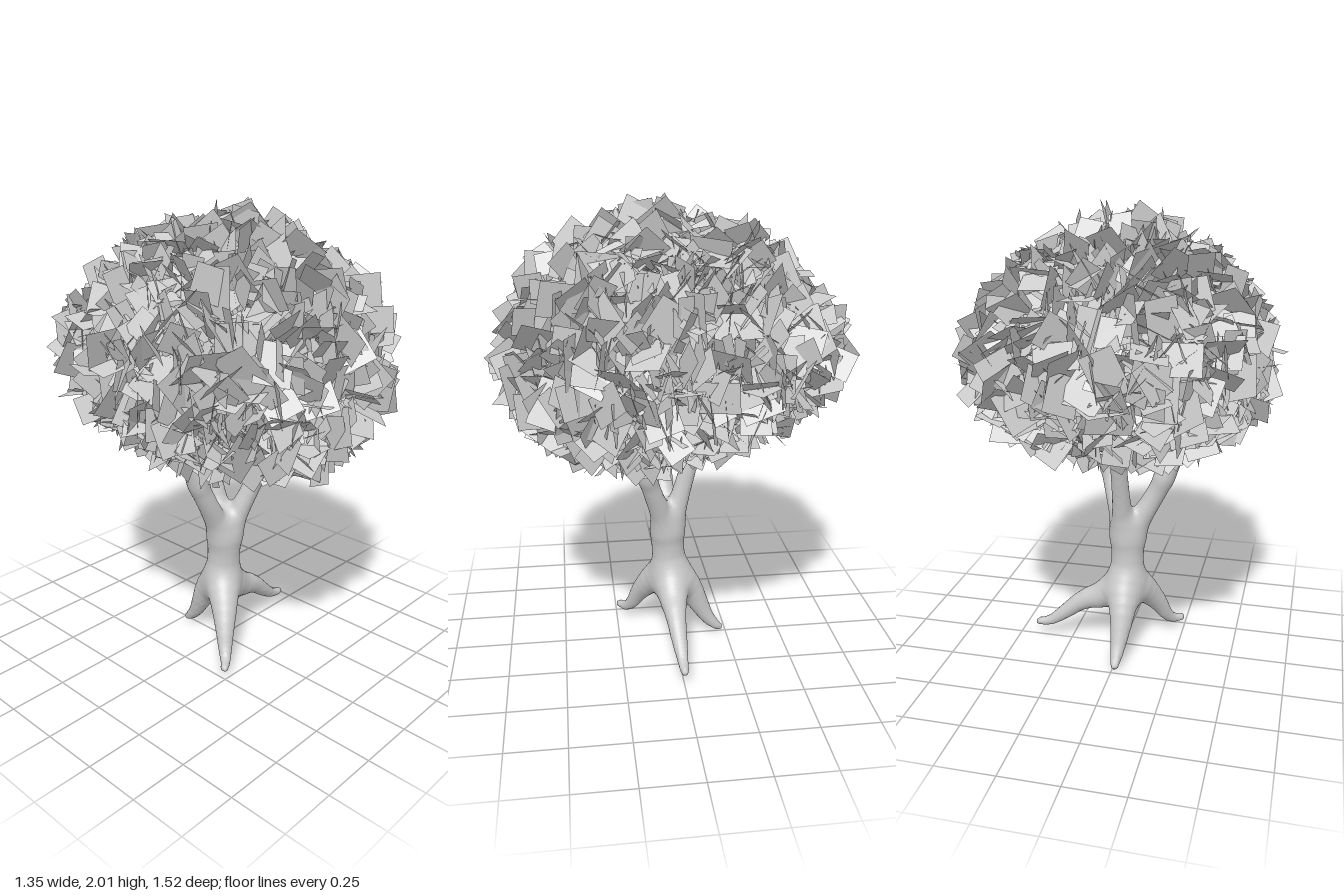
import * as THREE from 'three';
import { mergeGeometries } from 'three/addons/utils/BufferGeometryUtils.js';

// Limb paths, each point is [x, y, z, radius]
const limbs = {
  trunk: [[-0.01, 0.27, 0.01, 0.084], [-0.015, 0.34, 0.015, 0.08], [-0.015, 0.44, 0.02, 0.073],
    [-0.015, 0.54, 0.025, 0.076], [-0.015, 0.6, 0.025, 0.066]],
  leftRoot: [[0.0, 0.35, 0.01, 0.06], [0.045, 0.285, 0.01, 0.073], [0.1, 0.245, 0.01, 0.062],
    [0.19, 0.208, 0.01, 0.045], [0.28, 0.137, 0.005, 0.034], [0.35, 0.085, 0, 0.024],
    [0.408, 0.07, 0, 0.018]],
  rightFrontRoot: [[-0.02, 0.35, 0.02, 0.06], [-0.055, 0.295, 0.055, 0.071],
    [-0.095, 0.235, 0.1, 0.058], [-0.137, 0.165, 0.142, 0.043], [-0.17, 0.09, 0.175, 0.031],
    [-0.2, 0.053, 0.205, 0.023], [-0.235, 0.047, 0.232, 0.018]],
  backRoot: [[-0.01, 0.35, 0, 0.06], [-0.01, 0.295, -0.035, 0.072], [-0.015, 0.23, -0.082, 0.06],
    [-0.015, 0.15, -0.125, 0.045], [-0.012, 0.08, -0.163, 0.033], [-0.01, 0.037, -0.2, 0.024],
    [-0.01, 0.02, -0.22, 0.018]],
  rightBranch: [[-0.04, 0.55, 0.025, 0.05], [-0.075, 0.64, 0.025, 0.049], [-0.13, 0.74, 0.03, 0.044],
    [-0.18, 0.84, 0.025, 0.043], [-0.23, 0.96, 0.02, 0.035], [-0.3, 1.2, 0.01, 0.02]],
  rightBranchFork: [[-0.175, 0.84, 0.025, 0.03], [-0.17, 0.92, 0.05, 0.028],
    [-0.14, 1.0, 0.08, 0.024], [-0.1, 1.2, 0.13, 0.018]],
  frontLeftBranch: [[0.01, 0.55, 0.04, 0.048], [0.035, 0.65, 0.062, 0.046], [0.068, 0.75, 0.095, 0.041],
    [0.1, 0.86, 0.13, 0.039], [0.13, 0.97, 0.165, 0.034], [0.2, 1.2, 0.23, 0.02]],
  frontLeftBranchFork: [[0.095, 0.84, 0.122, 0.028], [0.085, 0.93, 0.11, 0.026],
    [0.075, 1.03, 0.1, 0.022], [0.06, 1.2, 0.08, 0.018]],
  backBranch: [[-0.005, 0.55, 0.005, 0.048], [0, 0.65, -0.015, 0.046], [0, 0.74, -0.04, 0.04],
    [0, 0.85, -0.07, 0.037], [0, 0.97, -0.105, 0.034], [0.02, 1.2, -0.2, 0.02]],
};

// Smooth a path into short tapered segments
function smoothPath(points, count = 11) {
  const curve = new THREE.CatmullRomCurve3(points.map(p => new THREE.Vector3(p[0], p[1], p[2])));
  const radii = new THREE.SplineCurve(points.map((p, i) => new THREE.Vector2(i, p[3])));
  return Array.from({ length: count + 1 }, (_, i) =>
    [...curve.getPoint(i / count).toArray(), radii.getPoint(i / count).y]);
}

// Distance from (x, y, z) to a tapered path
function pathDistance(path, x, y, z) {
  let best = Infinity;
  for (let i = 0; i < path.length - 1; i++) {
    const a = path[i], b = path[i + 1];
    const dx = b[0] - a[0], dy = b[1] - a[1], dz = b[2] - a[2];
    const px = x - a[0], py = y - a[1], pz = z - a[2];
    const along = (px * dx + py * dy + pz * dz) / (dx * dx + dy * dy + dz * dz);
    const t = Math.min(1, Math.max(0, along));
    const d = Math.sqrt((px - t * dx) ** 2 + (py - t * dy) ** 2 + (pz - t * dz) ** 2);
    best = Math.min(best, d - a[3] - t * (b[3] - a[3]));
  }
  return best;
}

// One continuous skin around all limbs, with soft blends where they meet
function barkSkin(paths, origin, counts, cell, blend) {
  const [nx, ny, nz] = counts;
  const steps = [1, nx, nx * ny];
  const values = new Float32Array(nx * ny * nz);
  const cellVertex = new Int32Array(values.length);
  const eachCell = (margin, visit) => {
    for (let k = 0; k < nz - margin; k++)
      for (let j = 0; j < ny - margin; j++)
        for (let i = 0; i < nx - margin; i++) visit(i, j, k, (k * ny + j) * nx + i);
  };
  eachCell(0, (i, j, k, p) => {
    let d = 1;
    for (const path of paths) {
      const e = pathDistance(path, origin[0] + i * cell, origin[1] + j * cell, origin[2] + k * cell);
      const h = Math.max(0, blend - Math.abs(d - e));
      d = Math.min(d, e) - h * h / (4 * blend);
    }
    values[p] = d;
  });

  // A vertex in each cell that the surface crosses
  const pos = [], index = [];
  eachCell(1, (i, j, k, p) => {
    const sum = [0, 0, 0];
    let hits = 0;
    for (let a = 0; a < 8; a++) {
      const corner = [a & 1, (a >> 1) & 1, (a >> 2) & 1];
      const q = p + corner[0] + corner[1] * steps[1] + corner[2] * steps[2];
      for (let d = 0; d < 3; d++) {
        if (corner[d] || (values[q] < 0) === (values[q + steps[d]] < 0)) continue;
        const t = values[q] / (values[q] - values[q + steps[d]]);
        for (let e = 0; e < 3; e++) sum[e] += corner[e] + (e === d ? t : 0);
        hits++;
      }
    }
    if (!hits) return;
    cellVertex[p] = pos.length / 3;
    [i, j, k].forEach((n, e) => pos.push(origin[e] + (n + sum[e] / hits) * cell));
  });

  // A quad around each crossed grid edge
  eachCell(1, (i, j, k, p) => {
    for (let d = 0; d < 3; d++) {
      const inside = values[p] < 0;
      if (inside === (values[p + steps[d]] < 0)) continue;
      const u = steps[(d + 1) % 3], w = steps[(d + 2) % 3];
      const q = [p - u - w, p - w, p, p - u].map(n => cellVertex[n]);
      if (!inside) q.reverse();
      index.push(q[0], q[1], q[2], q[0], q[2], q[3]);
    }
  });
  const g = new THREE.BufferGeometry();
  g.setAttribute('position', new THREE.Float32BufferAttribute(pos, 3));
  g.setIndex(index);
  g.computeVertexNormals();
  return g;
}

// Small seeded random generator
function seeded(seed) {
  return () => {
    seed = (seed * 1664525 + 1013904223) % 4294967296;
    return seed / 4294967296;
  };
}

// Point on the crown surface: v is height from -1 to 1, a is the angle around y
function crownPoint(v, a, depth) {
  const c = Math.abs(Math.cos(a)) / 0.585, s = Math.abs(Math.sin(a)) / 0.67;
  const n = 2.2 - 0.2 * Math.sin(a); // squarer in plan at the back
  const plan = Math.pow(Math.pow(c, n) + Math.pow(s, n), -1 / n);
  const p = v < 0 ? 2.2 : 1.8;
  const r = plan * Math.pow(1 - Math.pow(Math.abs(v), p), 1 / p) * depth;
  const rise = v * depth * (v < 0 ? 0.43 : 0.525);
  const lean = (v < 0 ? 0.2 : 0.1) * Math.abs(rise); // fullest at the front, pointed at the back
  const z = Math.sin(a) * r + lean;
  return new THREE.Vector3(Math.cos(a) * r, 1.39 + rise + 0.07 * z * Math.min(0, v), z);
}

export function createModel() {
  const tree = new THREE.Group();
  tree.name = 'tree';
  const add = (name, geometry, options) => {
    const mesh = new THREE.Mesh(geometry,
      new THREE.MeshStandardMaterial({ color: 0xcccccc, ...options }));
    mesh.name = name;
    tree.add(mesh);
  };

  // Trunk, roots and branches in one smooth skin
  const paths = Object.values(limbs).map(path => smoothPath(path));
  add('trunkRootsAndBranches',
    barkSkin(paths, [-0.35, -0.02, -0.27], [67, 106, 46], 0.012, 0.04));

  // Crown of flat, randomly turned leaf cards
  const random = seeded(7);
  const leaves = [];
  const turn = new THREE.Quaternion(), outward = new THREE.Quaternion();
  const forward = new THREE.Vector3(0, 0, 1), centre = new THREE.Vector3(0, 1.4, 0);
  for (let i = 0; i < 2000; i++) {
    const v = random() * 2 - 1, a = random() * Math.PI * 2;
    const point = crownPoint(v, a, 1 - 0.3 * Math.pow(random(), 1.5));
    outward.setFromUnitVectors(forward, point.clone().sub(centre).normalize());
    turn.setFromEuler(new THREE.Euler(
      (random() - 0.5) * 3, (random() - 0.5) * 3, random() * Math.PI * 2));
    const card = new THREE.PlaneGeometry(0.09 + random() * 0.06, 0.11 + random() * 0.09);
    card.applyQuaternion(outward.multiply(turn));
    card.translate(point.x, point.y, point.z);
    leaves.push(card);
  }
  add('leaves', mergeGeometries(leaves), { flatShading: true, side: THREE.DoubleSide });

  return tree;
}
